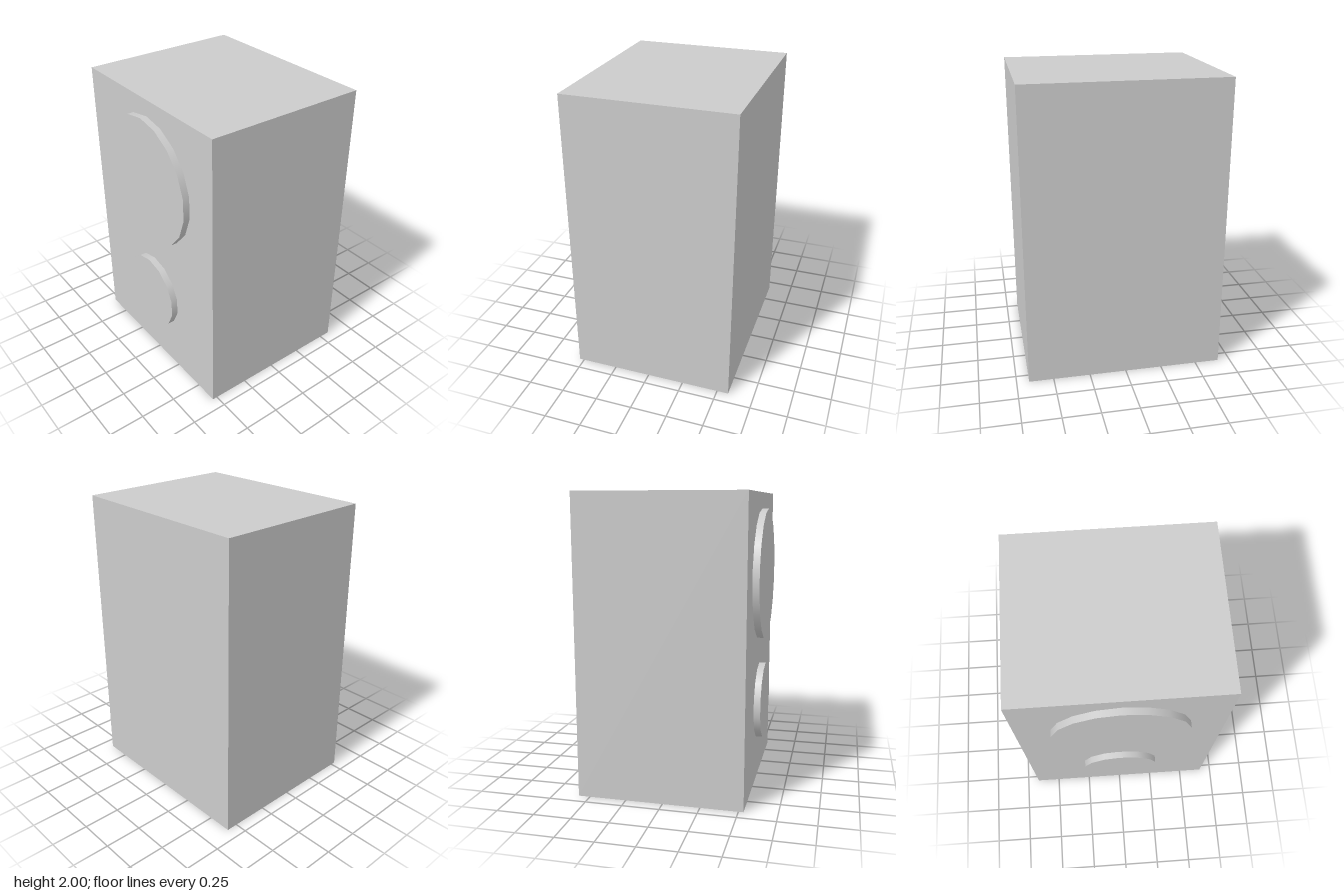
import * as THREE from 'three';

export function createModel() {
  const model = new THREE.Group();
  const material = new THREE.MeshStandardMaterial({ color: 0xcccccc });

  const add = (name, geometry, x, y, z) => {
    const mesh = new THREE.Mesh(geometry, material);
    mesh.name = name;
    mesh.position.set(x, y, z);
    model.add(mesh);
  };

  const backZ = -0.578, baffleZ = 0.533, frontZ = 0.578;

  // Speaker cabinet
  add('cabinet', new THREE.BoxGeometry(1.333, 2, baffleZ - backZ), 0, 1, (backZ + baffleZ) / 2);

  // Round drivers standing proud of the front panel
  const drivers = [
    ['upperDriver', 0.443, 18, 1.447],
    ['lowerDriver', 0.266, 14, 0.558],
  ];
  for (const [name, radius, sides, y] of drivers) {
    const disc = new THREE.CylinderGeometry(radius, radius, frontZ - baffleZ, sides);
    disc.rotateX(Math.PI / 2);
    add(name, disc, 0, y, (baffleZ + frontZ) / 2);
  }

  return model;
}
